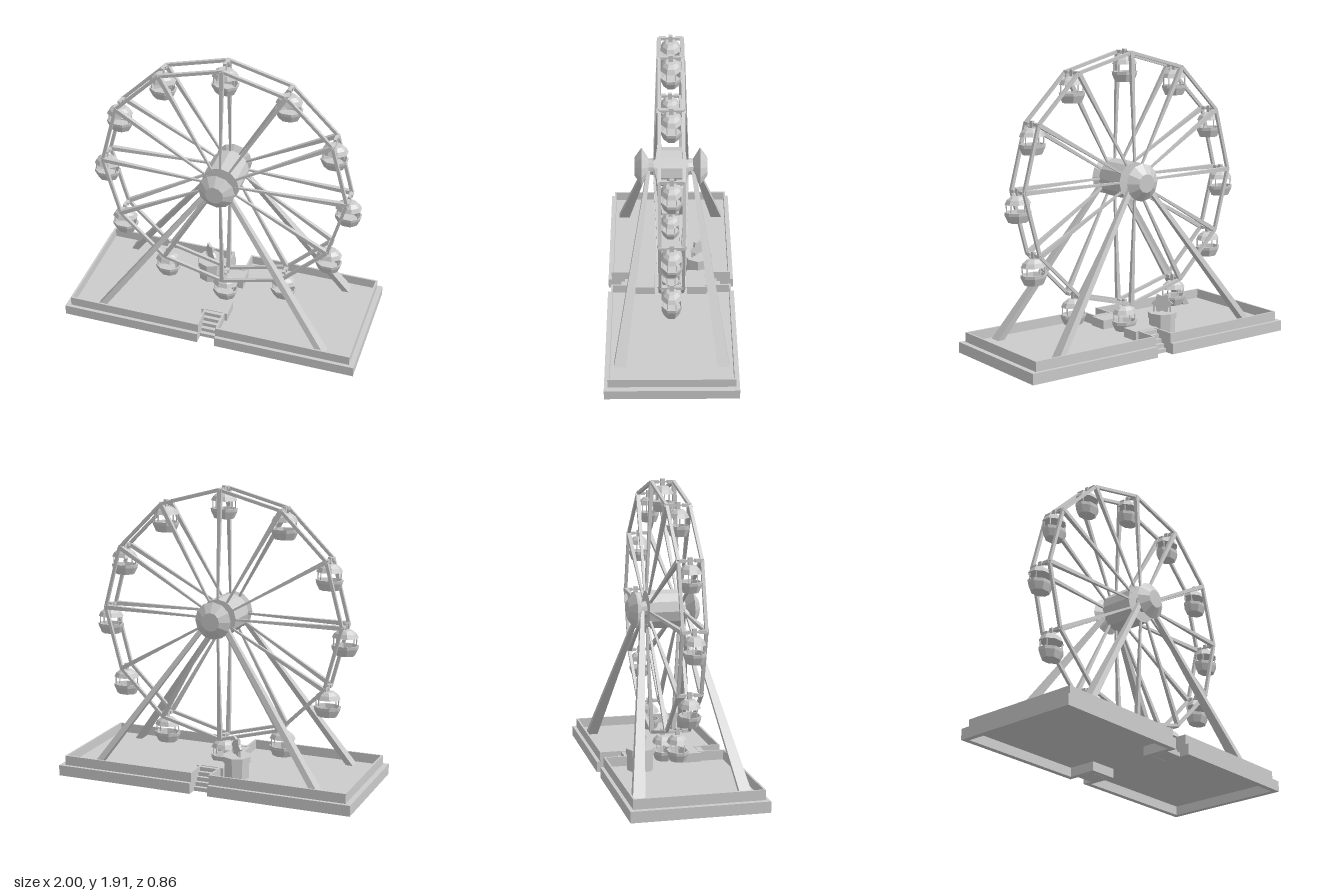
import * as THREE from 'three';

const mat = new THREE.MeshStandardMaterial({ color: 0xcccccc, flatShading: true, side: THREE.DoubleSide });
const HUB_Y = 1.08, RIM_R = 0.815, RIM_Z = 0.072, SIDES = 12;
const V = (x, y, z) => new THREE.Vector3(x, y, z);

function add(parent, name, geo, x = 0, y = 0, z = 0) {
  const m = new THREE.Mesh(geo, mat);
  m.name = name;
  m.position.set(x, y, z);
  parent.add(m);
  return m;
}

function box(parent, name, w, h, d, x, y, z) {
  return add(parent, name, new THREE.BoxGeometry(w, h, d), x, y, z);
}

// Square bar between two points, tapering from width wa to width wb
function beam(parent, name, a, b, wa, wb) {
  const dir = b.clone().sub(a), len = dir.length();
  const geo = new THREE.CylinderGeometry(wb * Math.SQRT1_2, wa * Math.SQRT1_2, len, 4);
  geo.rotateY(Math.PI / 4);
  dir.normalize();
  const side = dir.clone().cross(V(0, 0, 1)).normalize();
  geo.applyMatrix4(new THREE.Matrix4().makeBasis(side, dir, side.clone().cross(dir)));
  const mid = a.clone().add(b).multiplyScalar(0.5);
  return add(parent, name, geo, mid.x, mid.y, mid.z);
}

// Rectangle with a stair notch in the front and back edges
function outline(w, d, n, zn) {
  return [[-w, -d], [-n, -d], [-n, -zn], [n, -zn], [n, -d], [w, -d],
    [w, d], [n, d], [n, zn], [-n, zn], [-n, d], [-w, d]].map(([x, y]) => new THREE.Vector2(x, y));
}

function slab(w, d, height, wall) {
  const shape = new THREE.Shape(outline(w, d, 0.06, 0.24));
  if (wall) shape.holes.push(new THREE.Path(outline(w - wall, d - wall, 0.06 + wall, 0.24 - wall)));
  return new THREE.ExtrudeGeometry(shape, { depth: height, bevelEnabled: false }).rotateX(-Math.PI / 2);
}

function makeBase() {
  const g = new THREE.Group();
  g.name = 'base';
  add(g, 'skirt', slab(1, 0.428, 0.07, 0.035));
  add(g, 'floor', slab(0.97, 0.41, 0.01, 0), 0, 0.06, 0);
  add(g, 'parapet', slab(0.965, 0.405, 0.063, 0.012), 0, 0.07, 0);
  for (const s of [1, -1]) {
    box(g, 'landing', 0.18, 0.06, 0.13, 0, 0.1, s * 0.175);
    for (let i = 0; i < 5; i++) {
      const h = 0.026 * (i + 1);
      box(g, 'step', 0.118, h, 0.025, 0, h / 2, s * (0.35 - i * 0.024));
    }
  }
  return g;
}

// Flat leg: a box whose ends are moved to the hub and the floor
function makeLeg(sx, sz) {
  const geo = new THREE.BoxGeometry(1, 1, 1);
  const p = geo.attributes.position;
  for (let i = 0; i < p.count; i++) {
    const top = p.getY(i) > 0;
    const x = top ? 0.04 + p.getX(i) * 0.035 : 0.77 + p.getX(i) * 0.047;
    const z = top ? 0.143 + p.getZ(i) * 0.024 : 0.332 + p.getZ(i) * 0.076;
    p.setXYZ(i, sx * x, top ? HUB_Y : 0.068, sz * z);
  }
  geo.computeVertexNormals();
  const m = new THREE.Mesh(geo, mat);
  m.name = 'supportLeg';
  return m;
}

function makeHub() {
  const g = new THREE.Group();
  g.name = 'hub';
  g.position.y = HUB_Y;
  // Drum, necks and flared end caps share one turned profile
  const half = [[0.125, 0.11], [0.055, 0.112], [0.05, 0.142], [0.122, 0.187], [0.06, 0.232], [0, 0.232]];
  const points = [...half.slice().reverse().map(([r, z]) => new THREE.Vector2(r, -z)),
    ...half.map(([r, z]) => new THREE.Vector2(r, z))];
  add(g, 'hubBody', new THREE.LatheGeometry(points, 12).rotateX(Math.PI / 2));
  return g;
}

function lathe(profile, segs) {
  const geo = new THREE.LatheGeometry(profile.map(([r, y]) => new THREE.Vector2(r, y)), segs, Math.PI / segs);
  return geo.scale(1 / Math.cos(Math.PI / segs), 1, 0.78 / Math.cos(Math.PI / segs));
}

// Cabin, with its origin at the axle it hangs from
function makeGondola() {
  const g = new THREE.Group();
  g.name = 'gondola';
  box(g, 'axle', 0.012, 0.01, 0.14, 0, 0, 0);
  box(g, 'hanger', 0.02, 0.048, 0.026, 0, -0.004, 0);
  for (const s of [1, -1]) box(g, 'axleBlock', 0.026, 0.02, 0.045, 0, 0, s * 0.05);
  add(g, 'roof', lathe([[0, -0.022], [0.042, -0.026], [0.066, -0.046], [0.08, -0.074], [0, -0.068]], 8));
  for (const sx of [1, -1]) for (const sz of [1, -1])
    box(g, 'post', 0.006, 0.07, 0.006, sx * 0.066, -0.1, sz * 0.027);
  add(g, 'tub', lathe([[0, -0.16], [0.066, -0.16], [0.074, -0.122], [0.082, -0.122],
    [0.08, -0.142], [0.06, -0.187], [0, -0.187]], 8));
  return g;
}

function makeWheel() {
  const g = new THREE.Group();
  g.name = 'wheel';
  const at = (i, r, z) => {
    const a = i * 2 * Math.PI / SIDES;
    return V(r * Math.sin(a), HUB_Y + r * Math.cos(a), z);
  };
  for (let i = 0; i < SIDES; i++) {
    for (const s of [1, -1]) {
      beam(g, 'rimBar', at(i, RIM_R, s * RIM_Z), at(i + 1, RIM_R, s * RIM_Z), 0.02, 0.02);
      beam(g, 'spoke', at(i, 0.1, s * 0.106), at(i, RIM_R, s * RIM_Z), 0.012, 0.028);
    }
    const cabin = makeGondola();
    cabin.position.copy(at(i, RIM_R, 0));
    g.add(cabin);
  }
  return g;
}

// Control booth: octagonal drum with a six-pointed star sign on two posts
function makeBooth() {
  const g = new THREE.Group();
  g.name = 'booth';
  g.position.set(-0.165, 0, -0.187);
  add(g, 'boothBody', new THREE.CylinderGeometry(0.085, 0.085, 0.11, 8), 0, 0.122, 0);
  add(g, 'boothTop', new THREE.CylinderGeometry(0.094, 0.094, 0.04, 8), 0, 0.194, 0);
  const sign = new THREE.Group();
  sign.name = 'starSign';
  sign.rotation.y = -Math.PI / 4;
  const star = new THREE.Shape();
  for (let i = 0; i < 12; i++) {
    const r = i % 2 ? 0.048 : 0.07, a = i * Math.PI / 6;
    star[i ? 'lineTo' : 'moveTo'](r * Math.cos(a), r * Math.sin(a));
  }
  star.closePath();
  add(sign, 'star', new THREE.ExtrudeGeometry(star, { depth: 0.016, bevelEnabled: false }), 0, 0.27, -0.008);
  for (const s of [1, -1]) box(sign, 'signPost', 0.01, 0.07, 0.01, s * 0.053, 0.242, 0);
  g.add(sign);
  return g;
}

export function createModel() {
  const model = new THREE.Group();
  model.name = 'ferrisWheel';
  model.add(makeBase(), makeHub(), makeWheel(), makeBooth());
  for (const sx of [1, -1]) for (const sz of [1, -1]) model.add(makeLeg(sx, sz));
  return model;
}
